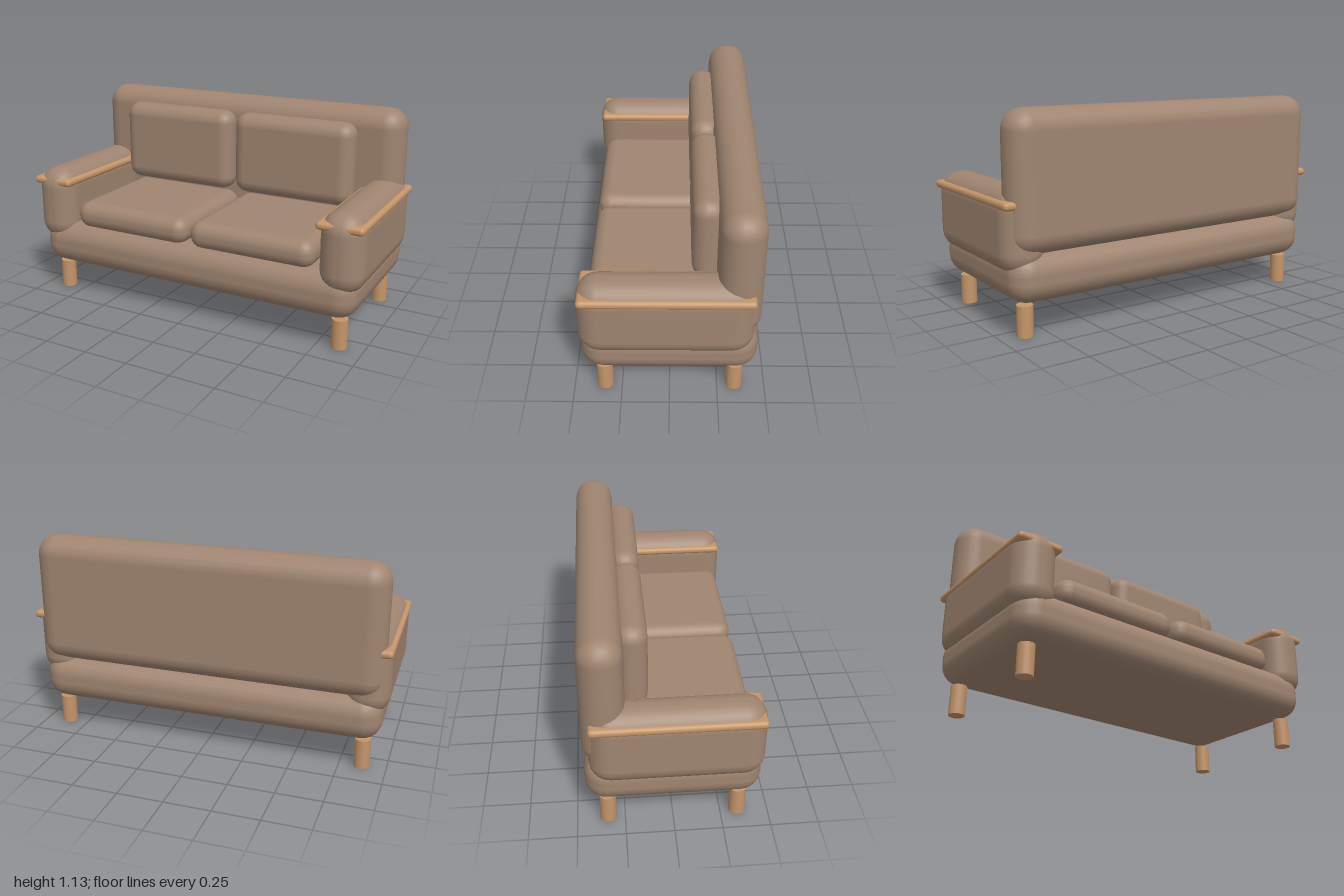
import * as THREE from 'three';
import { RoundedBoxGeometry } from 'three/addons/geometries/RoundedBoxGeometry.js';

const fabric = new THREE.MeshStandardMaterial({ color: 0xa08570 });
const wood = new THREE.MeshStandardMaterial({ color: 0xc4956a });

// Rounded block given by its limits on each axis
function block(name, [x0, x1], [y0, y1], [z0, z1], radius, material = fabric, segments = 3) {
  const geometry = new RoundedBoxGeometry(x1 - x0, y1 - y0, z1 - z0, segments, radius);
  const mesh = new THREE.Mesh(geometry, material);
  mesh.name = name;
  mesh.position.set((x0 + x1) / 2, (y0 + y1) / 2, (z0 + z1) / 2);
  return mesh;
}

export function createModel() {
  const sofa = new THREE.Group();
  sofa.name = 'sofa';

  // Upholstered body
  sofa.add(block('base', [-0.965, 0.965], [0.173, 0.43], [-0.45, 0.45], 0.11));
  sofa.add(block('backrest', [-0.965, 0.965], [0.415, 1.132], [-0.457, -0.235], 0.108));

  for (const [side, s] of [['left', 1], ['right', -1]]) {
    const span = (a, b) => (s > 0 ? [a, b] : [-b, -a]);

    // Loose cushions
    sofa.add(block(side + 'SeatCushion', span(0.01, 0.732), [0.41, 0.562], [-0.3, 0.42], 0.07));
    sofa.add(block(side + 'BackCushion', span(0.01, 0.732), [0.588, 1.058], [-0.27, -0.11], 0.075));

    // Arm with a thin wooden slab running through it
    sofa.add(block(side + 'Arm', span(0.757, 0.995), [0.315, 0.745], [-0.425, 0.458], 0.11));
    sofa.add(block(side + 'ArmRail', span(0.75, 1), [0.651, 0.694], [-0.418, 0.445], 0.02, wood));

    // Legs
    for (const [end, z] of [['Front', 0.338], ['Back', -0.338]]) {
      const leg = new THREE.Mesh(new THREE.CylinderGeometry(0.043, 0.043, 0.162, 24), wood);
      leg.name = side + end + 'Leg';
      leg.position.set(s * 0.868, 0.081, z);
      sofa.add(leg);
    }
  }
  return sofa;
}
